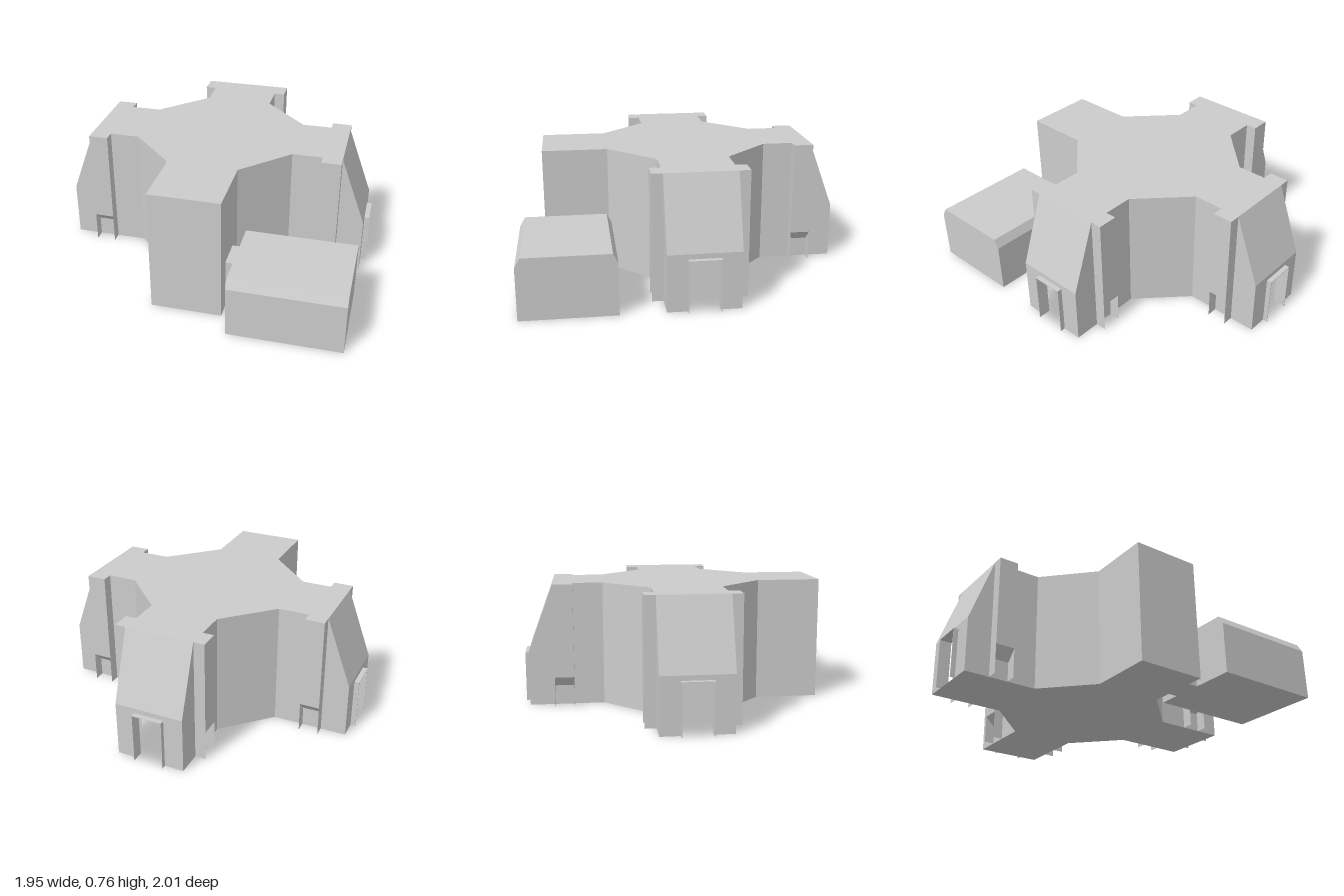
import * as THREE from 'three';

const H = 0.76, SILL = 0.34, HALF = 0.213, CZ = -0.03;
const DOOR = 0.0925, DOOR_H = 0.31;
const solid = new THREE.MeshStandardMaterial({ color: 0xcccccc, flatShading: true });
const thin = new THREE.MeshStandardMaterial({ color: 0xcccccc, flatShading: true, side: THREE.DoubleSide });

function add(parent, name, geometry, material = solid) {
  const mesh = new THREE.Mesh(geometry, material);
  mesh.name = name;
  parent.add(mesh);
  return mesh;
}

const shapeOf = pts => new THREE.Shape(pts.map(([x, y]) => new THREE.Vector2(x, y)));

// Cross-shaped plan, counter-clockwise from above; arm 0 is right, 1 back, 2 left, 3 front
function plan(end) {
  const ring = [];
  for (let k = 0; k < 4; k++) {
    const e = k === 3 ? 0.88 : end;
    const c = Math.round(Math.cos(k * Math.PI / 2)), s = Math.round(Math.sin(k * Math.PI / 2));
    for (const [x, z] of [[0.487, HALF], [e, HALF], [e, -HALF], [0.487, -HALF]])
      ring.push([x * c + z * s, -x * s + z * c]);
  }
  return ring;
}

// Walls between two plan rings, leaving out the listed edges
function walls(low, y0, high, y1, skip = []) {
  const pos = [];
  low.forEach((a, i) => {
    if (skip.includes(i)) return;
    const j = (i + 1) % low.length, b = low[j], c = high[j], d = high[i];
    for (const [p, y] of [[a, y0], [b, y0], [c, y1], [a, y0], [c, y1], [d, y1]])
      pos.push(p[0], y, p[1]);
  });
  const g = new THREE.BufferGeometry();
  g.setAttribute('position', new THREE.Float32BufferAttribute(pos, 3));
  g.computeVertexNormals();
  return g;
}

// Doorway at the end of an arm that points along +x
function addDoor(arm) {
  const face = shapeOf([
    [-HALF, 0], [-DOOR, 0], [-DOOR, DOOR_H], [DOOR, DOOR_H],
    [DOOR, 0], [HALF, 0], [HALF, SILL], [-HALF, SILL]]);
  add(arm, 'endWall', new THREE.ShapeGeometry(face).rotateY(Math.PI / 2).translate(0.945, 0, 0));
  const t = 0.004, depth = 0.075, x = 0.9375;
  for (const s of [-1, 1])
    add(arm, 'doorJamb', new THREE.BoxGeometry(depth, DOOR_H, t)).position.set(x, DOOR_H / 2, s * DOOR);
  add(arm, 'doorLintel', new THREE.BoxGeometry(depth, t, 2 * DOOR + t)).position.set(x, DOOR_H - t / 2, 0);
}

// Pier on one side of an arm, with a slanted niche between two thin fins at its foot
function addPier(arm, side) {
  const out = 0.067, x0 = 0.67, w = 0.12;
  const pier = new THREE.Group();
  pier.name = 'pier';
  const body = shapeOf([[0, 0.12], [out, 0.185], [out, H], [0, H]]);
  add(pier, 'pierBody', new THREE.ExtrudeGeometry(body, { depth: w, bevelEnabled: false }));
  const fin = new THREE.ShapeGeometry(shapeOf([[0, 0], [out, 0], [out, 0.185], [0, 0.12]]));
  for (const z of [0, w]) add(pier, 'pierFin', fin, thin).position.z = z;
  // profile x points away from the arm
  pier.rotation.y = -side * Math.PI / 2;
  pier.position.set(side > 0 ? x0 + w : x0, 0, side * HALF);
  arm.add(pier);
}

export function createModel() {
  const model = new THREE.Group();
  model.name = 'building';

  // Hollow cross-shaped hall
  const hall = new THREE.Group();
  hall.name = 'hall';
  hall.position.z = CZ;
  model.add(hall);
  const base = plan(0.945), top = plan(0.79);
  add(hall, 'lowerWalls', walls(base, 0, base, SILL, [1, 5, 9]));
  add(hall, 'upperWalls', walls(base, SILL, top, H));
  add(hall, 'roof', new THREE.ShapeGeometry(shapeOf(top.map(([x, z]) => [x, -z])))
    .rotateX(-Math.PI / 2).translate(0, H, 0));
  add(hall, 'floor', new THREE.ShapeGeometry(shapeOf(base)).rotateX(Math.PI / 2));

  // Doors and piers on the right, back and left arms
  ['leftArm', 'backArm', 'rightArm'].forEach((name, k) => {
    const arm = new THREE.Group();
    arm.name = name;
    arm.rotation.y = k * Math.PI / 2;
    addDoor(arm);
    addPier(arm, 1);
    addPier(arm, -1);
    hall.add(arm);
  });

  // Low annex with bevelled long edges, profile drawn in (-z, y)
  const annex = shapeOf([
    [-1, 0], [-0.445, 0], [-0.445, 0.31], [-0.473, 0.365], [-0.968, 0.365], [-1, 0.31]]);
  add(model, 'annex', new THREE.ExtrudeGeometry(annex, { depth: 0.67, bevelEnabled: false })
    .rotateY(Math.PI / 2).translate(0.273, 0, 0));
  add(model, 'annexPassage', new THREE.BoxGeometry(0.07, 0.31, 0.18)).position.set(0.242, 0.155, 0.66);

  return model;
}
